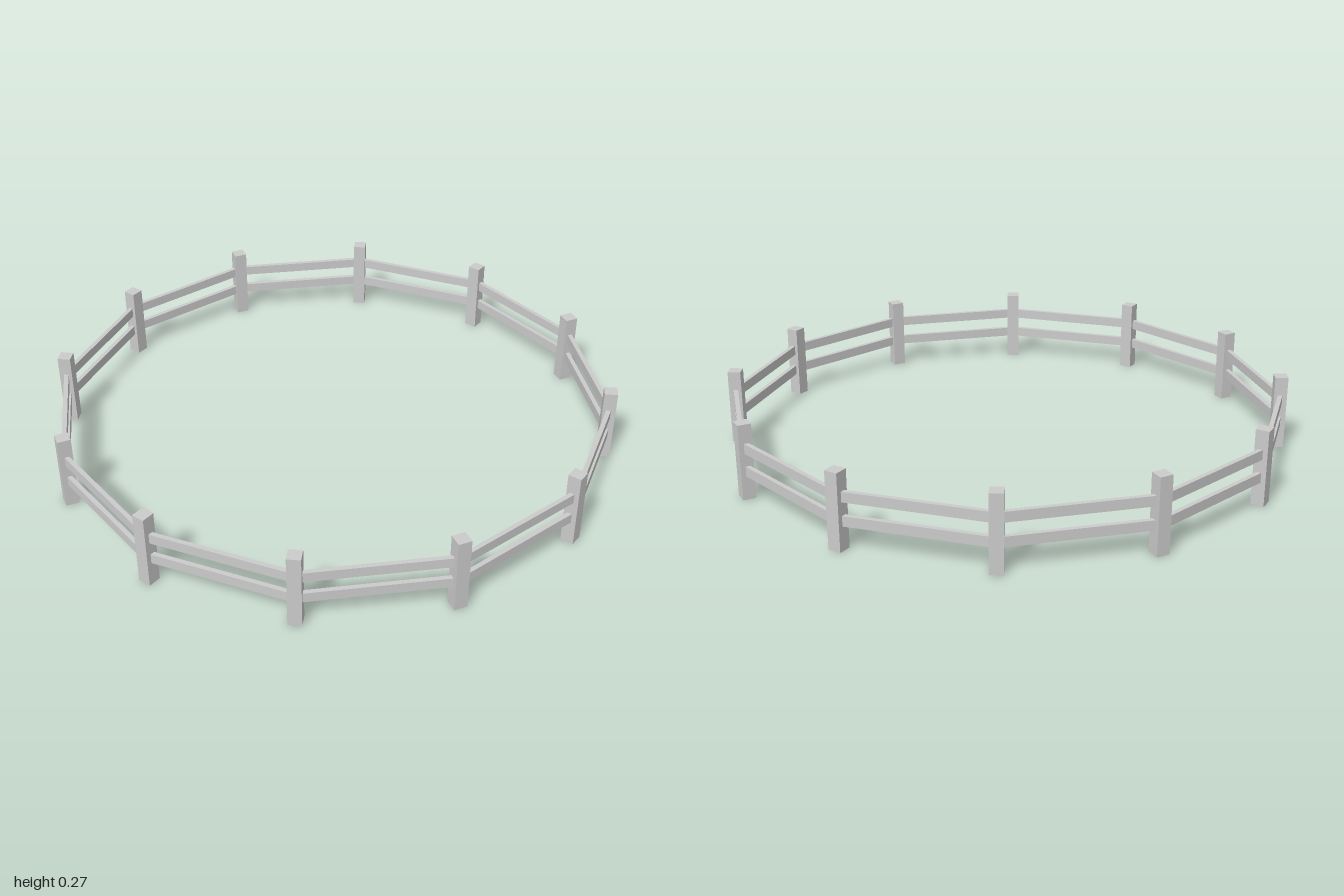
import * as THREE from 'three';

const COUNT = 12, RADIUS = 0.977;
const POST = 0.046, POST_HEIGHT = 0.266;
const RAIL_HEIGHT = 0.035, RAIL_DEPTH = 0.016;

export function createModel() {
  const fence = new THREE.Group();
  fence.name = 'roundFence';
  const material = new THREE.MeshStandardMaterial({ color: 0xcccccc, flatShading: true });

  const step = (Math.PI * 2) / COUNT;
  const railLength = 2 * RADIUS * Math.sin(step / 2);
  const railRadius = RADIUS * Math.cos(step / 2) + 0.004;
  const postGeometry = new THREE.BoxGeometry(POST, POST_HEIGHT, POST);
  const railGeometry = new THREE.BoxGeometry(railLength, RAIL_HEIGHT, RAIL_DEPTH);

  // Places a part on the ring, turned to face outwards
  const place = (name, geometry, angle, radius, y) => {
    const mesh = new THREE.Mesh(geometry, material);
    mesh.name = name;
    mesh.position.set(Math.sin(angle) * radius, y, Math.cos(angle) * radius);
    mesh.rotation.y = angle;
    fence.add(mesh);
  };

  for (let i = 0; i < COUNT; i++) {
    const angle = i * step;
    // Square upright
    place('post', postGeometry, angle, RADIUS, POST_HEIGHT / 2);
    // Two straight rails to the next post
    place('lowerRail', railGeometry, angle + step / 2, railRadius, 0.101);
    place('upperRail', railGeometry, angle + step / 2, railRadius, 0.182);
  }
  return fence;
}
